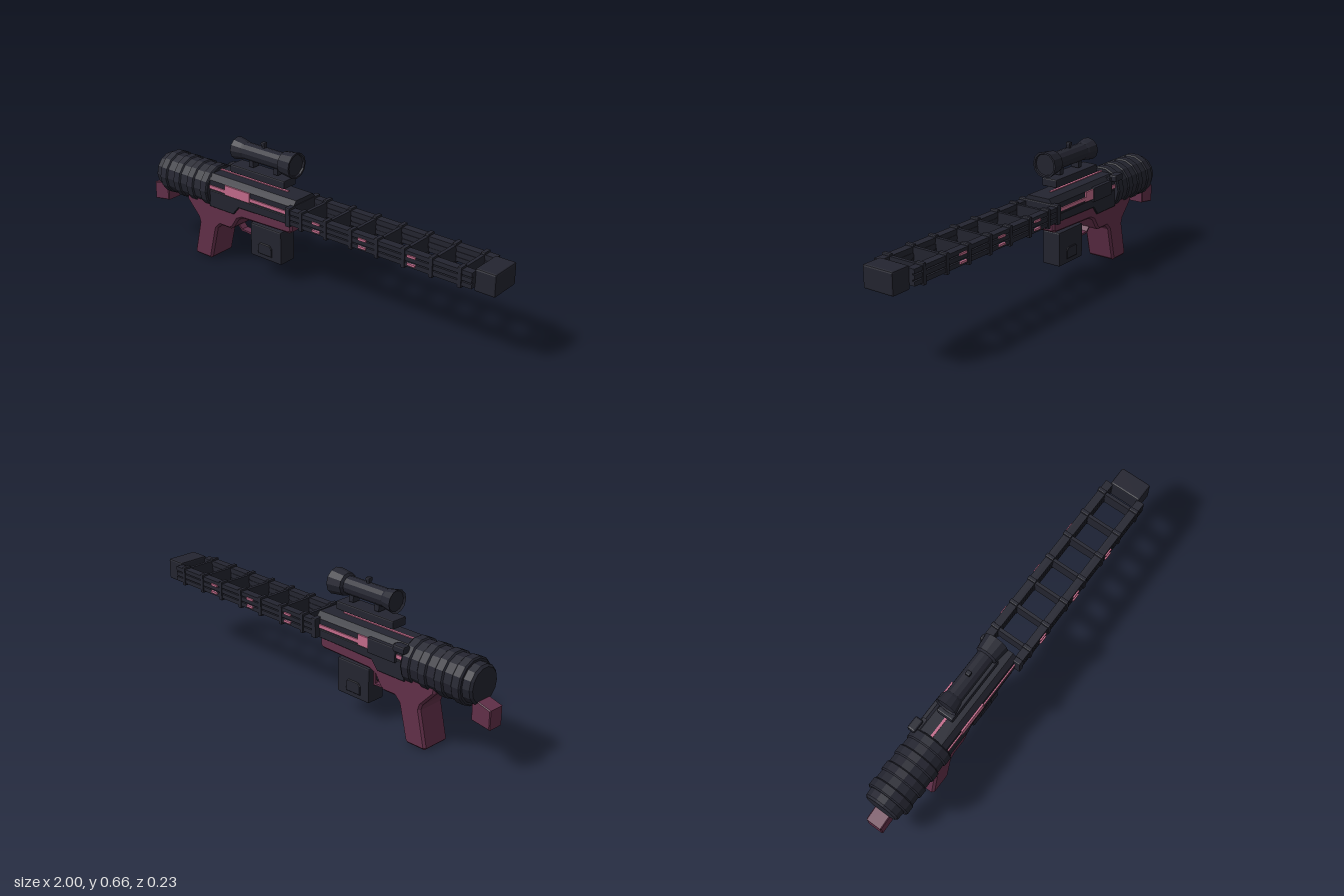
import * as THREE from 'three';
import { RoundedBoxGeometry } from 'three/addons/geometries/RoundedBoxGeometry.js';

const material = (name, color, options = {}) => {
  const m = new THREE.MeshStandardMaterial({ color, ...options });
  m.name = name;
  return m;
};

export function createModel() {
  const dark = material('dark gunmetal', 0x242530, { flatShading: true });
  const plum = material('plum grip', 0x63304a, { flatShading: true });
  const pink = material('pink trim', 0xc46c8c, { flatShading: true });

  const model = new THREE.Group();
  model.name = 'longRifle';

  const add = (name, geometry, mat, parent = model) => {
    const mesh = new THREE.Mesh(geometry, mat);
    mesh.name = name;
    parent.add(mesh);
    return mesh;
  };

  // box given by its limits on each axis, optionally with rounded edges
  const box = (name, mat, [x0, x1], [y0, y1], [z0, z1], round = 0, parent = model) => {
    const size = [x1 - x0, y1 - y0, z1 - z0];
    const geometry = round ? new RoundedBoxGeometry(...size, 1, round) : new THREE.BoxGeometry(...size);
    const mesh = add(name, geometry, mat, parent);
    mesh.position.set((x0 + x1) / 2, (y0 + y1) / 2, (z0 + z1) / 2);
    return mesh;
  };

  // side outline (x, y) extruded symmetrically across z
  const slab = (name, mat, points, halfWidth, bevel = 0.008) => {
    const shape = new THREE.Shape(points.map(([x, y]) => new THREE.Vector2(x, y)));
    const geometry = new THREE.ExtrudeGeometry(shape, {
      depth: 2 * (halfWidth - bevel), bevelEnabled: bevel > 0, bevelSize: bevel,
      bevelThickness: bevel, bevelOffset: -bevel, bevelSegments: 1,
    });
    geometry.translate(0, 0, bevel - halfWidth);
    return add(name, geometry, mat);
  };

  // round part along x from (x, radius) pairs
  const turned = (name, mat, points, y, sides) => {
    const geometry = new THREE.LatheGeometry(points.map(([x, r]) => new THREE.Vector2(r, x)), sides);
    geometry.rotateZ(-Math.PI / 2);
    geometry.translate(0, y, 0);
    return add(name, geometry, mat);
  };

  // rear drum with raised bands
  const drum = [[-0.935, 0], [-0.935, 0.078], [-0.925, 0.088], [-0.89, 0.09]];
  for (let i = 0; i < 4; i++) {
    const x = -0.89 + i * 0.089;
    drum.push([x, 0.1], [x + 0.006, 0.107], [x + 0.042, 0.107], [x + 0.048, 0.101]);
  }
  drum.push([-0.572, 0.101], [-0.572, 0]);
  turned('rearDrum', dark, drum, 0.368, 14);

  // shoulder block
  slab('shoulderBlock', plum, [[-1, 0.2], [-0.905, 0.215], [-0.905, 0.315], [-1, 0.288]], 0.04, 0.004);

  // lower frame with pistol grip
  slab('gripFrame', plum, [
    [-0.7, 0.012], [-0.69, 0.002], [-0.597, 0.002], [-0.585, 0.012], [-0.545, 0.175], [-0.52, 0.2],
    [-0.455, 0.2], [-0.435, 0.215], [-0.405, 0.262], [-0.375, 0.276], [-0.09, 0.284], [-0.072, 0.296],
    [-0.072, 0.345], [-0.74, 0.345], [-0.74, 0.28], [-0.67, 0.205], [-0.662, 0.18],
  ], 0.074, 0.01);

  // receiver: chamfered section run along x
  const section = new THREE.Shape([
    [-0.08, 0.335], [0.08, 0.335], [0.08, 0.425], [0.058, 0.452], [-0.058, 0.452], [-0.08, 0.425],
  ].map(([z, y]) => new THREE.Vector2(z, y)));
  const receiver = new THREE.ExtrudeGeometry(section, { depth: 0.52, bevelEnabled: false });
  receiver.rotateY(Math.PI / 2);
  receiver.translate(-0.576, 0, 0);
  add('receiver', receiver, dark);
  slab('receiverSkirt', dark,
    [[-0.58, 0.288], [-0.425, 0.288], [-0.39, 0.33], [-0.075, 0.336], [-0.075, 0.375], [-0.58, 0.375]], 0.082, 0.003);

  // pink trim on the receiver
  for (const s of [1, -1]) {
    const out = [s * 0.08, s * 0.086].sort((a, b) => a - b);
    box('sideStripe', pink, [-0.575, -0.072], [0.383, 0.4], out);
    const panelOut = [s * 0.08, s * 0.088].sort((a, b) => a - b);
    box('sidePanel', pink, [-0.47, -0.315], [0.377, 0.425], panelOut);
  }
  box('topStripe', pink, [-0.575, -0.15], [0.449, 0.456], [-0.006, 0.006]);

  // bolt cover and handle on the model's far side
  box('boltCover', dark, [-0.535, -0.375], [0.36, 0.432], [-0.093, -0.07], 0.006);
  box('boltStem', dark, [-0.59, -0.52], [0.425, 0.445], [-0.085, -0.06]);
  box('boltKnob', dark, [-0.6, -0.535], [0.423, 0.458], [-0.112, -0.07], 0.008);

  // twin barrel rails, with pink clips
  for (const s of [1, -1]) {
    const side = new THREE.Group();
    side.name = s > 0 ? 'frontRail' : 'backRail';
    model.add(side);
    const span = (a, b) => (s > 0 ? [a, b] : [-b, -a]);
    box('railCore', dark, [-0.07, 0.905], [0.352, 0.42], span(0.07, 0.096), 0, side);
    for (const y of [0.35, 0.376, 0.402]) {
      box('railBar', dark, [-0.07, 0.905], [y, y + 0.02], span(0.068, 0.106), 0, side);
    }
    for (const x of [0.1, 0.355, 0.612]) {
      for (const y of [0.36, 0.397]) {
        box('railClip', pink, [x - 0.021, x + 0.021], [y, y + 0.01], span(0.104, 0.113), 0, side);
      }
    }
  }

  // ribs joining the rails
  for (let i = 0; i < 7; i++) {
    const x = 0.01 + i * 0.1395;
    box('railRib', dark, [x - 0.008, x + 0.008], [0.35, 0.422], [-0.09, 0.09]);
    for (const s of [1, -1]) {
      const z = [s * 0.066, s * 0.11].sort((a, b) => a - b);
      box('ribCollar', dark, [x - 0.01, x + 0.01], [0.338, 0.432], z, 0.004);
    }
  }
  box('railSocket', dark, [-0.08, -0.052], [0.338, 0.432], [-0.11, 0.11], 0.005);
  box('muzzleBlock', dark, [0.9, 1], [0.329, 0.432], [-0.079, 0.079], 0.008);

  // magazine with side catches
  box('magazine', dark, [-0.349, -0.159], [0.091, 0.258], [-0.048, 0.048], 0.007);
  slab('magazineCatch', dark,
    [[-0.3, 0.115], [-0.215, 0.115], [-0.215, 0.158], [-0.228, 0.172], [-0.287, 0.172], [-0.3, 0.158]], 0.053, 0.003);

  // trigger and its guard
  const guard = [[-0.45, 0.205], [-0.43, 0.184], [-0.355, 0.18], [-0.352, 0.262], [-0.36, 0.28]];
  guard.slice(1).forEach(([x, y], i) => {
    const [px, py] = guard[i];
    const bar = add('triggerGuard', new THREE.BoxGeometry(Math.hypot(x - px, y - py) + 0.008, 0.009, 0.038), plum);
    bar.position.set((x + px) / 2, (y + py) / 2, 0);
    bar.rotation.z = Math.atan2(y - py, x - px);
  });
  slab('trigger', dark, [[-0.365, 0.195], [-0.354, 0.2], [-0.362, 0.225], [-0.352, 0.275], [-0.368, 0.275], [-0.375, 0.225]], 0.01, 0.001);

  // scope on its mounting plate
  box('scopeMount', dark, [-0.475, -0.14], [0.478, 0.518], [-0.042, 0.042], 0.006);
  for (const x of [-0.36, -0.21]) {
    box('scopeFoot', dark, [x - 0.014, x + 0.014], [0.524, 0.56], [-0.021, 0.021], 0.003);
  }
  turned('scopeTube', dark, [
    [-0.452, 0], [-0.452, 0.046], [-0.46, 0.054], [-0.41, 0.045], [-0.4, 0.041], [-0.18, 0.041],
    [-0.172, 0.053], [-0.1, 0.062], [-0.1, 0.053], [-0.108, 0.05], [-0.108, 0],
  ], 0.591, 12);
  box('knobStem', dark, [-0.302, -0.288], [0.625, 0.645], [-0.007, 0.007]);
  box('scopeKnob', dark, [-0.307, -0.285], [0.64, 0.658], [-0.012, 0.012], 0.004);

  return model;
}
